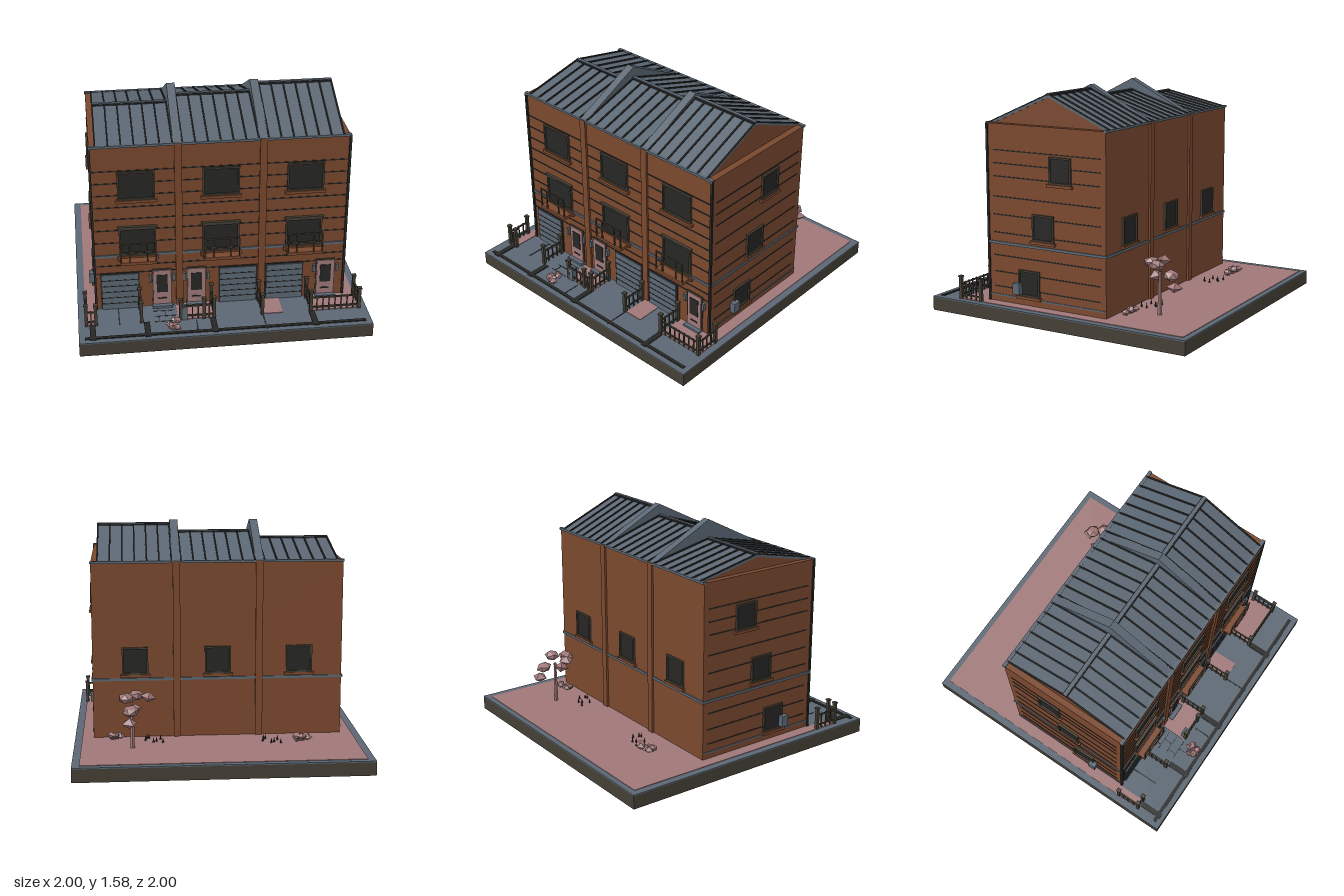
import * as THREE from 'three';

const mat = (name, hex, extra = {}) => Object.assign(new THREE.MeshStandardMaterial({ color: hex, ...extra }), { name });

export function createModel() {
  const root = new THREE.Group();
  root.name = 'terraceHouses';
  const brick = mat('brick', 0x7a482e);
  const slate = mat('slate', 0x5b6773);
  const pink = mat('dustyPink', 0xa07879, { flatShading: true });
  const olive = mat('darkOlive', 0x443f35);
  const dark = mat('charcoal', 0x262625);

  // Box given by its extents
  const span = (name, m, x0, x1, y0, y1, z0, z1, parent = root) => {
    const mesh = new THREE.Mesh(new THREE.BoxGeometry(x1 - x0, y1 - y0, z1 - z0), m);
    mesh.position.set((x0 + x1) / 2, (y0 + y1) / 2, (z0 + z1) / 2);
    mesh.name = name;
    parent.add(mesh);
    return mesh;
  };
  const group = (name, x, y, z, ry = 0) => {
    const g = new THREE.Group();
    g.name = name;
    g.position.set(x, y, z);
    g.rotation.y = ry;
    root.add(g);
    return g;
  };

  const G = 0.1, EAVE = 1.34, W = 0.87, ZF = 0.59, ZB = -0.35, RIDGE = 0.12;
  const units = [-0.57, 0, 0.575];

  // Base, paving and lawns
  span('base', olive, -1, 1, 0, 0.092, -1, 1);
  span('paving', slate, -1, 1, 0.092, G, -1, 1);
  span('backLawn', pink, -0.95, 0.95, G, 0.104, -0.96, ZF);
  for (const [a, b] of [[-0.95, -0.88], [-0.32, -0.07], [0.28, 0.41], [0.61, 0.95]])
    span('frontLawn', pink, a, b, G, 0.104, ZF, 0.79);
  span('roadGutter', dark, -0.96, 0.96, G, 0.106, 0.935, 0.96);
  for (const x of [-0.905, -0.535, -0.08, 0.61]) span('drain', dark, x - 0.02, x + 0.02, G, 0.106, 0.8, 0.97);
  for (const [x, z0, z1] of [[-0.72, 0.6, 0.8], [-0.195, 0.81, 0.93], [0.27, 0.8, 0.97]])
    span('pavingJoint', dark, x - 0.004, x + 0.004, G, 0.102, z0, z1);
  for (let i = 0; i < 4; i++) {
    span('pathJoint', dark, -0.48, -0.33, G, 0.102, 0.6 + i * 0.065, 0.604 + i * 0.065);
    const x = -0.45 + (i % 2) * 0.05;
    span('pathJoint', dark, x, x + 0.004, G, 0.102, 0.6 + i * 0.065, 0.665 + i * 0.065);
  }

  // Walls, bands, plinth and pilasters
  span('walls', brick, -W, W, G, EAVE, ZB, ZF);
  span('floorBand', slate, -W - 0.008, W + 0.008, 0.51, 0.528, ZB - 0.008, ZF + 0.008);
  for (const z of [ZF, ZB]) span('gutter', slate, -W - 0.005, W + 0.005, 1.332, 1.348, z - 0.012, z + 0.012);
  for (const s of [-1, 1]) {
    span('sidePlinth', slate, s * W - 0.006, s * W + 0.006, 0.145, 0.155, ZB, ZF);
    span('downpipe', dark, s * W - 0.008, s * W + 0.008, G, EAVE, ZF - 0.004, ZF + 0.012);
    for (const y of [0.21, 0.315, 0.43, 0.59, 0.715, 0.84, 0.98, 1.07, 1.16])
      span('sideCourse', dark, s * W - 0.003, s * W + 0.003, y - 0.004, y + 0.004, -0.31, 0.55);
  }
  for (const y of [0.38, 0.44, 0.62, 0.715, 0.8, 0.89, 0.98, 1.07, 1.16])
    span('frontCourse', dark, -0.86, 0.86, y - 0.004, y + 0.004, ZF - 0.003, ZF + 0.003);
  for (const x of [-0.288, 0.285])
    for (const z of [ZF, ZB]) span('pilaster', brick, x - 0.025, x + 0.025, G, 1.345, z - 0.015, z + 0.015);

  // Triangular prism running along x, for gables and party walls
  const prism = (name, m, x0, x1, y, top) => {
    const s = new THREE.Shape([[-ZF, y], [-ZB, y], [-RIDGE, top]].map(p => new THREE.Vector2(...p)));
    const geo = new THREE.ExtrudeGeometry(s, { depth: x1 - x0, bevelEnabled: false });
    geo.rotateY(Math.PI / 2);
    const mesh = new THREE.Mesh(geo, m);
    mesh.position.x = x0;
    mesh.name = name;
    root.add(mesh);
  };
  for (const x of [-0.29, 0.285]) prism('partyWallParapet', slate, x - 0.029, x + 0.029, EAVE, 1.577);

  // Standing-seam roofs, each unit with its own ridge height
  [[-0.833, -0.319, 1.45], [-0.261, 0.256, 1.5], [0.314, 0.828, 1.555]].forEach(([x0, x1, top]) => {
    prism('gable', brick, x0 + 0.004, x1 - 0.004, EAVE, top - 0.018);
    for (const s of [-1, 1]) {
      const run = 0.47, rise = top - 0.01 - EAVE, len = Math.hypot(run, rise);
      const slope = group('roofSlope', 0, top - 0.01, RIDGE);
      slope.rotation.x = s * Math.atan2(rise, run);
      const [z0, z1] = s > 0 ? [0, len] : [-len, 0];
      span('roofSheet', slate, x0, x1, -0.012, 0.002, z0, z1, slope);
      for (let i = 0; i < 7; i++) {
        const x = x0 + 0.004 + (i * (x1 - x0 - 0.008)) / 6;
        span('roofSeam', dark, x - 0.005, x + 0.005, 0.002, 0.011, z0, z1, slope);
      }
    }
    span('ridgeCap', slate, x0, x1, top - 0.015, top + 0.003, RIDGE - 0.012, RIDGE + 0.012);
    span('ridgeLine', dark, x0, x1, top - 0.015, top - 0.002, RIDGE - 0.018, RIDGE + 0.018);
  });

  // Framed window with a sill, facing +z of its group
  const windowAt = (x, y, z, w, h, ry = 0) => {
    const g = group('window', x, y, z, ry), a = w / 2, b = h / 2, t = 0.012;
    span('glass', dark, -a, a, -b, b, -0.004, 0.004, g);
    for (const s of [-1, 1]) {
      span('frameSide', olive, s * a - t / 2, s * a + t / 2, -b, b, -0.004, 0.014, g);
      span('frameRail', olive, -a - t / 2, a + t / 2, s * b - t / 2, s * b + t / 2, -0.004, 0.014, g);
    }
    span('sill', brick, -a - 0.02, a + 0.02, -b - 0.026, -b - 0.006, -0.004, 0.022, g);
  };
  for (const x of units) {
    windowAt(x, 1.05, ZF, 0.24, 0.195);
    windowAt(x, 0.625, ZF, 0.24, 0.2);
    windowAt(x, 0.65, ZB, 0.17, 0.18, Math.PI);
    span('lintel', olive, x - 0.135, x + 0.135, 0.733, 0.745, ZF, ZF + 0.02);
    // Balcony slab and railing
    span('balconySlab', brick, x - 0.125, x + 0.125, 0.485, 0.507, ZF, 0.675);
    span('balconyBracket', brick, x - 0.14, x + 0.14, 0.485, 0.507, ZF, 0.61);
    for (const y of [0.585, 0.65]) span('balconyRail', olive, x - 0.12, x + 0.12, y - 0.005, y + 0.005, 0.668, 0.676);
    for (const dx of [-0.118, -0.06, 0.06, 0.118])
      span('balconyPost', olive, x + dx - 0.004, x + dx + 0.004, 0.5, 0.65, 0.668, 0.676);
  }
  for (const s of [-1, 1]) {
    for (const [y, z] of [[1.055, 0], [0.655, 0.14], [0.26, 0.26]]) windowAt(s * W, y, z, 0.16, 0.17, s * Math.PI / 2);
    span('meterBox', slate, s * 0.89 - 0.02, s * 0.89 + 0.02, 0.18, 0.258, 0.32, 0.375);
  }

  // Garage doors with panel joints
  for (const x of [-0.7, 0.12, 0.447]) {
    span('garageFrame', dark, x - 0.135, x + 0.135, G, 0.385, ZF, ZF + 0.006);
    span('garageDoor', slate, x - 0.125, x + 0.125, G, 0.375, ZF, ZF + 0.014);
    for (let i = 1; i < 6; i++) {
      const y = G + i * 0.046;
      span('garageJoint', dark, x - 0.125, x + 0.125, y - 0.003, y + 0.003, ZF, ZF + 0.016);
    }
  }

  // Front doors, with glass, wall lamps and step
  for (const x of [-0.41, -0.172, 0.74]) {
    span('doorFrame', olive, x - 0.068, x + 0.068, G, 0.395, ZF, ZF + 0.008);
    span('frontDoor', pink, x - 0.06, x + 0.06, G, 0.387, ZF, ZF + 0.014);
    span('doorGlass', dark, x - 0.038, x + 0.038, 0.215, 0.352, ZF, ZF + 0.018);
    span('letterSlot', dark, x - 0.03, x + 0.03, 0.16, 0.17, ZF, ZF + 0.018);
    span('doorStep', slate, x - 0.07, x + 0.07, G, 0.118, ZF, ZF + 0.045);
    for (const s of [-1, 1]) span('wallLamp', slate, x + s * 0.082 - 0.009, x + s * 0.082 + 0.009, 0.3, 0.355, ZF, ZF + 0.022);
  }

  // Front garden fences: posts, rails and pickets between two points
  const fence = (ax, az, bx, bz) => {
    const len = Math.hypot(bx - ax, bz - az);
    const g = group('fence', ax, G, az, -Math.atan2(bz - az, bx - ax));
    for (const x of [0, len]) {
      span('fencePost', olive, x - 0.011, x + 0.011, 0, 0.155, -0.011, 0.011, g);
      span('postCap', olive, x - 0.015, x + 0.015, 0.155, 0.165, -0.015, 0.015, g);
    }
    for (const y of [0.03, 0.105]) span('fenceRail', olive, 0, len, y - 0.005, y + 0.005, -0.005, 0.005, g);
    const n = Math.max(2, Math.round(len / 0.045));
    for (let i = 1; i < n; i++) span('picket', olive, (i * len) / n - 0.004, (i * len) / n + 0.004, 0, 0.115, -0.004, 0.004, g);
  };
  for (const x of [-0.945, -0.57, -0.07, 0.265, 0.605, 0.945]) fence(x, 0.62, x, 0.79);
  for (const [a, b] of [[-0.945, -0.88], [-0.3, -0.14], [-0.14, -0.07], [0.605, 0.945]]) fence(a, 0.79, b, 0.79);
  span('planter', slate, -0.305, -0.255, G, 0.2, 0.755, 0.8);

  // Faceted foliage
  const blob = (name, x, y, z, r, flat, turn, detail = 0) => {
    const m = new THREE.Mesh(detail ? new THREE.IcosahedronGeometry(r, detail - 1) : new THREE.OctahedronGeometry(r), pink);
    m.position.set(x, y, z);
    m.scale.y = flat;
    m.rotation.set(0.2 * Math.sin(turn * 3), turn, 0.2 * Math.cos(turn * 5));
    m.name = name;
    root.add(m);
  };
  const trunk = new THREE.Mesh(new THREE.CylinderGeometry(0.011, 0.017, 0.3, 6), pink);
  trunk.position.set(0.6, 0.25, -0.6);
  trunk.name = 'treeTrunk';
  root.add(trunk);
  [[0.49, 0.45, -0.57], [0.64, 0.45, -0.6], [0.58, 0.365, -0.56], [0.61, 0.385, -0.69], [0.62, 0.31, -0.72], [0.57, 0.45, -0.52]]
    .forEach(([x, y, z], i) => blob('treeLeaves', x, y, z, 0.057, 0.65, i * 1.3, i % 2));
  const shrub = (cx, cz, r) => {
    for (let i = 0; i < 7; i++) {
      const a = i * 2.4, d = i ? r * 0.6 : 0;
      blob('shrub', cx + d * Math.cos(a), G + r * (i ? 0.45 + 0.25 * (i % 3) : 0.6), cz + d * Math.sin(a), r * 0.5, 0.7, a, i % 2);
    }
  };
  shrub(-0.56, -0.59, 0.07);
  shrub(0.715, -0.45, 0.06);
  shrub(-0.355, 0.89, 0.055);

  // Grass tufts on the back lawn
  for (const [cx, cz] of [[-0.36, -0.52], [0.45, -0.45]])
    for (let i = 0; i < 7; i++) {
      const tuft = new THREE.Mesh(new THREE.ConeGeometry(0.008, 0.04, 4), dark);
      tuft.position.set(cx + 0.06 * Math.cos(i * 2.4), G + 0.022, cz + 0.055 * Math.sin(i * 2.4 + i * 0.3));
      tuft.name = 'grassTuft';
      root.add(tuft);
    }
  return root;
}
